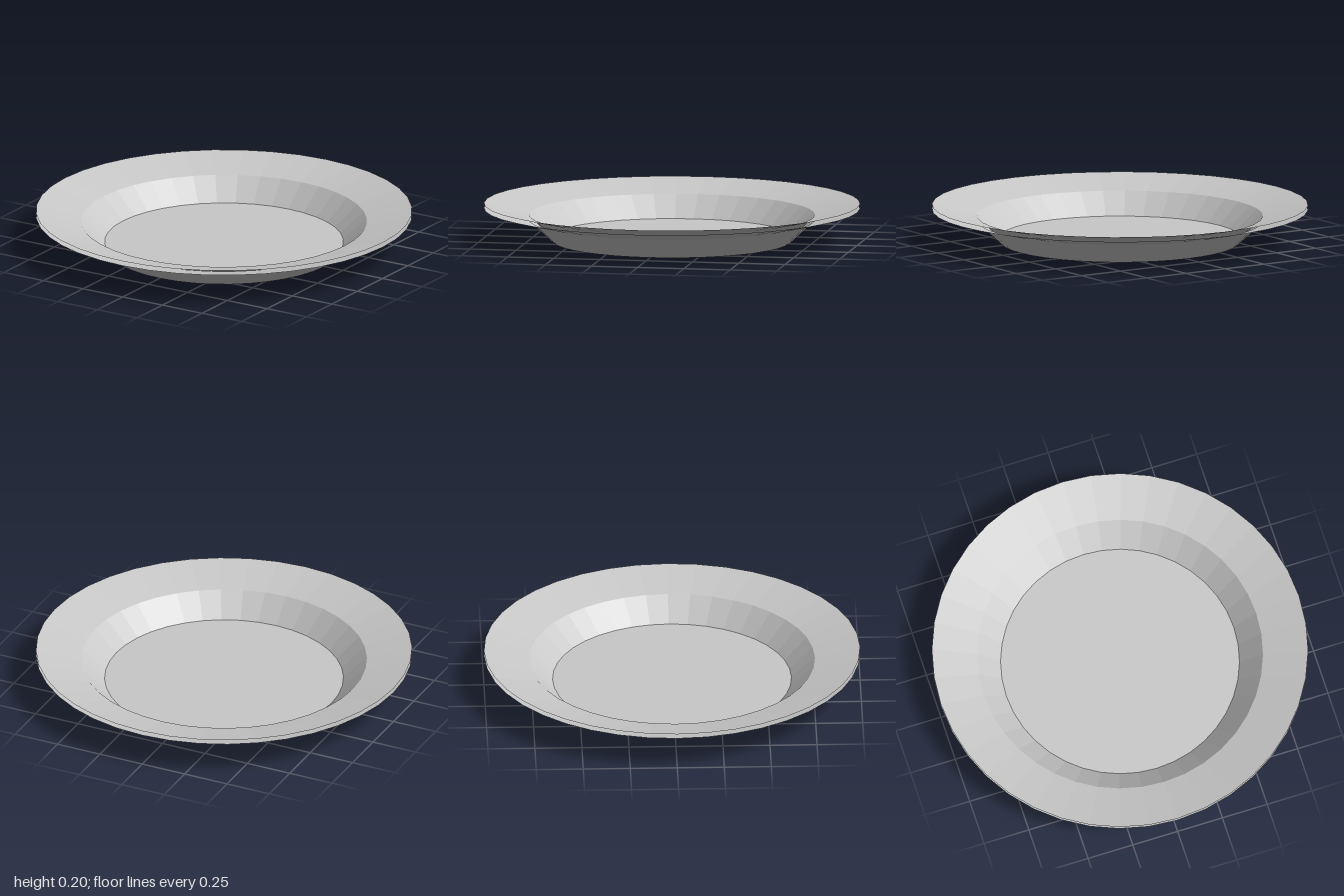
import * as THREE from 'three';

const SEGMENTS = 40;

// Revolves a profile of [radius, height] pairs into a faceted shell
function shell(name, profile, material) {
  const points = profile.map(([r, y]) => new THREE.Vector2(r, y));
  const mesh = new THREE.Mesh(new THREE.LatheGeometry(points, SEGMENTS), material);
  mesh.name = name;
  return mesh;
}

export function createModel() {
  const ceramic = new THREE.MeshStandardMaterial({ color: 0xc8c8c8, flatShading: true, side: THREE.DoubleSide });
  ceramic.name = 'grey ceramic';

  const plate = new THREE.Group();
  plate.name = 'plate';

  // Underside: foot, sloping wall and wide lip
  plate.add(shell('underside', [[0, 0], [0.635, 0], [0.76, 0.115], [1, 0.175]], ceramic));

  // Eating surface, a thin gap above the underside and open at the rim
  plate.add(shell('eatingSurface', [[1, 0.2], [0.76, 0.14], [0.635, 0.025], [0, 0.025]], ceramic));

  return plate;
}
